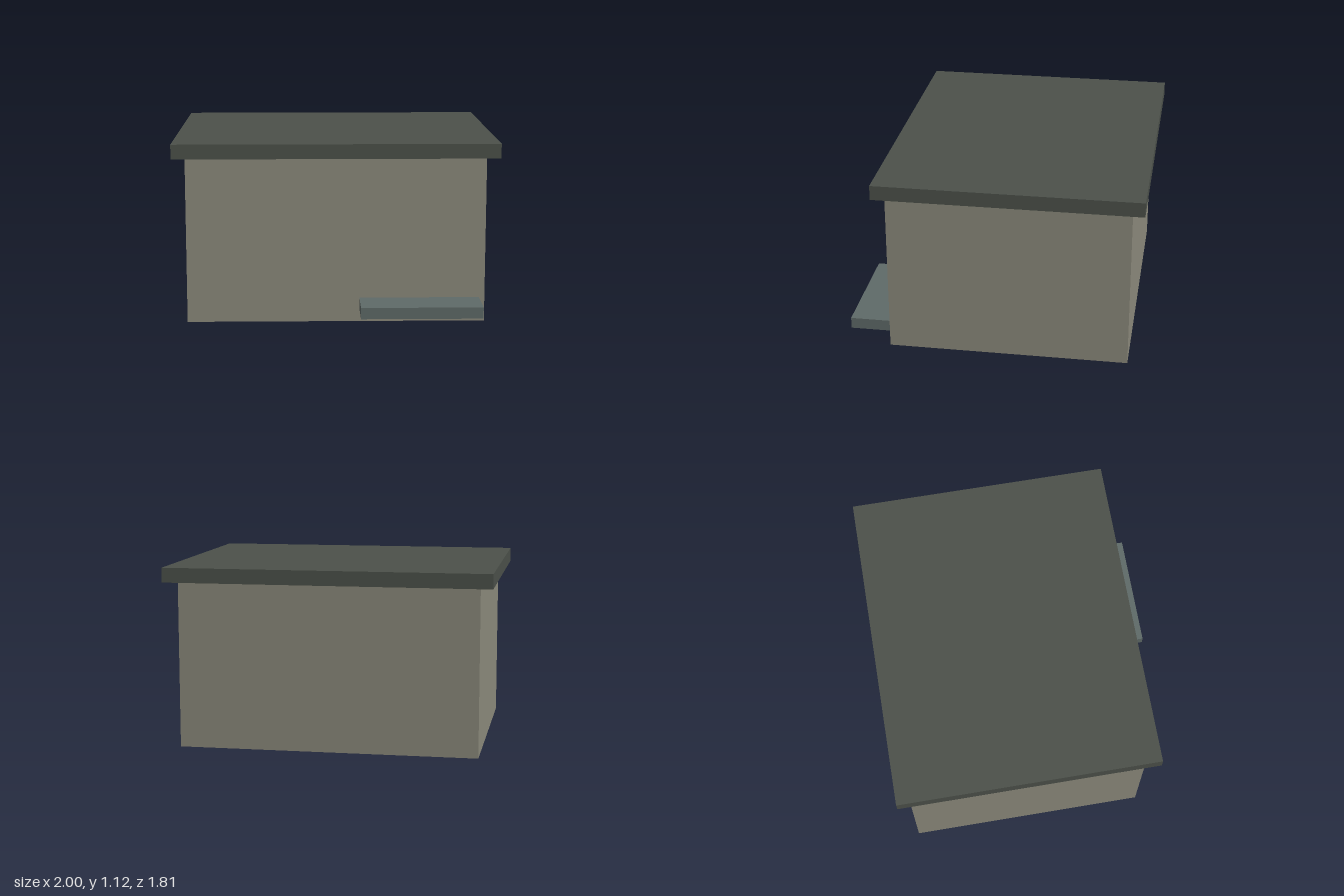
import * as THREE from 'three';

// Box given by its minimum and maximum corners
function slab(name, color, min, max) {
  const size = max.map((v, i) => v - min[i]);
  const mesh = new THREE.Mesh(
    new THREE.BoxGeometry(...size),
    new THREE.MeshStandardMaterial({ color })
  );
  mesh.name = name;
  mesh.position.set(...max.map((v, i) => (v + min[i]) / 2));
  return mesh;
}

export function createModel() {
  const model = new THREE.Group();
  model.name = 'building';
  model.add(
    // Plain walled block
    slab('walls', 0x8c8a7c, [-0.922, 0, -0.83], [0.922, 1.03, 0.65]),
    // Flat roof overhanging every side
    slab('roof', 0x4c514a, [-1, 1.03, -0.905], [1, 1.12, 0.718]),
    // Raised ledge on the front, off to the left
    slab('frontLedge', 0x5f6a68, [0.145, 0.08, 0.65], [0.887, 0.15, 0.905])
  );
  return model;
}
